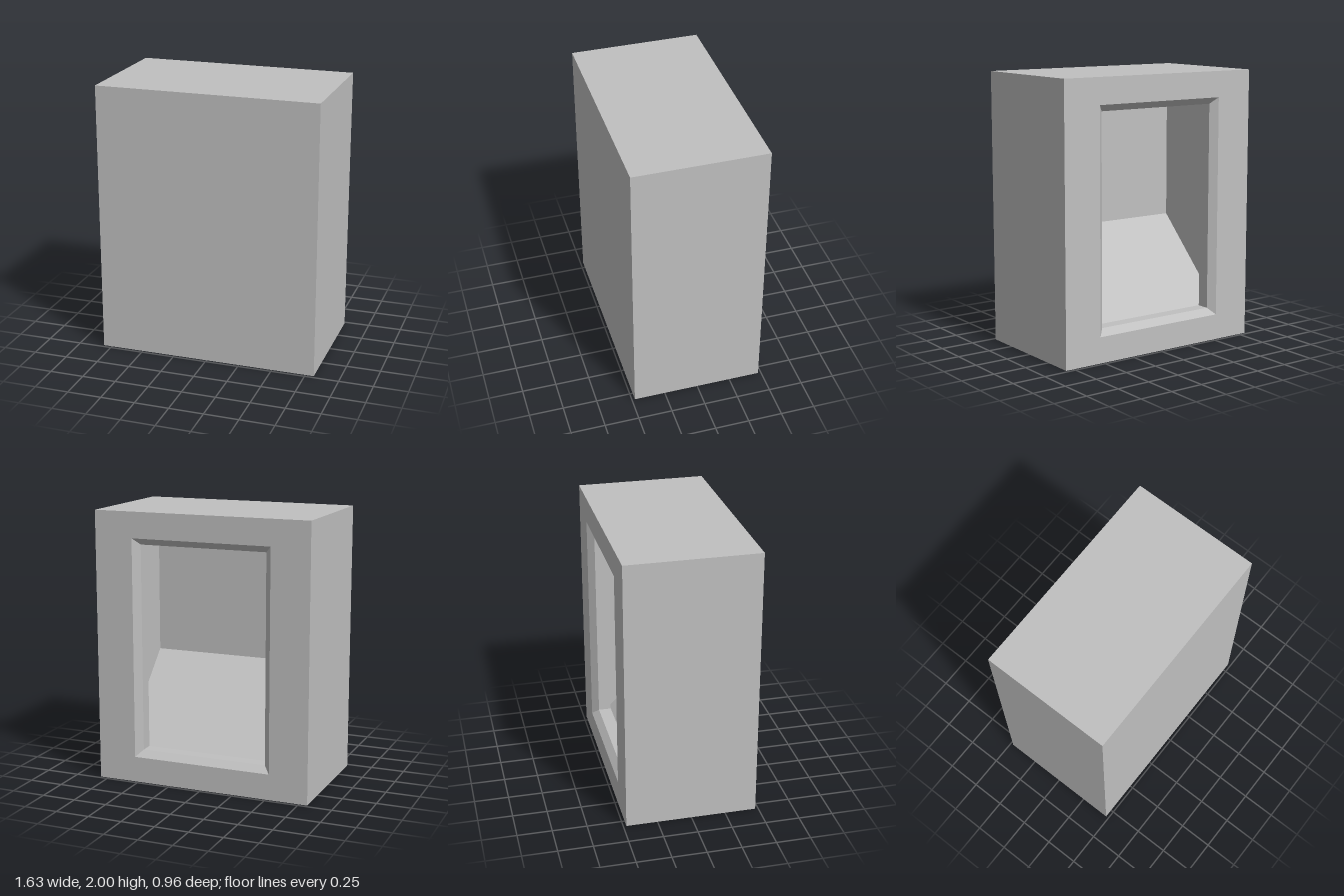
import * as THREE from 'three';

const grey = new THREE.MeshStandardMaterial({ color: 0xc0c0c0 });
grey.name = 'plain grey';

// Rectangular cross-section, anticlockwise as seen from the front
const rect = (halfWidth, bottom, top, z) => [
  [-halfWidth, bottom, z], [halfWidth, bottom, z],
  [halfWidth, top, z], [-halfWidth, top, z],
];

// Joins successive rectangles with flat walls, with an optional cap at either end
function loft(name, loops, capStart = false, capEnd = false) {
  const positions = [];
  const quad = (a, b, c, d) => positions.push(...a, ...b, ...c, ...a, ...c, ...d);
  for (let i = 0; i < loops.length - 1; i++) {
    const a = loops[i], b = loops[i + 1];
    for (let k = 0; k < 4; k++) {
      const n = (k + 1) % 4;
      quad(a[k], b[k], b[n], a[n]);
    }
  }
  if (capStart) quad(...loops[0]);
  if (capEnd) quad(...[...loops[loops.length - 1]].reverse());
  const geometry = new THREE.BufferGeometry();
  geometry.setAttribute('position', new THREE.Float32BufferAttribute(positions, 3));
  geometry.computeVertexNormals();
  const mesh = new THREE.Mesh(geometry, grey);
  mesh.name = name;
  return mesh;
}

export function createModel() {
  const model = new THREE.Group();
  model.name = 'hollowCabinet';

  const front = rect(0.813, 0, 2, 0.478);
  const back = rect(0.813, 0, 2, -0.478);
  const opening = rect(0.525, 0.19, 1.81, -0.478);
  const bevel = rect(0.477, 0.238, 1.762, -0.43);
  const lip = rect(0.477, 0.238, 1.762, -0.335);
  const cavityNear = rect(0.72, 0.096, 1.85, -0.335);
  const cavityFar = rect(0.72, 0.81, 1.85, 0.38); // raised bottom makes the sloping floor

  model.add(
    loft('outerCase', [front, back, opening], true),
    loft('openingFrame', [opening, bevel, lip, cavityNear]),
    loft('innerCavity', [cavityNear, cavityFar], false, true),
  );
  return model;
}
